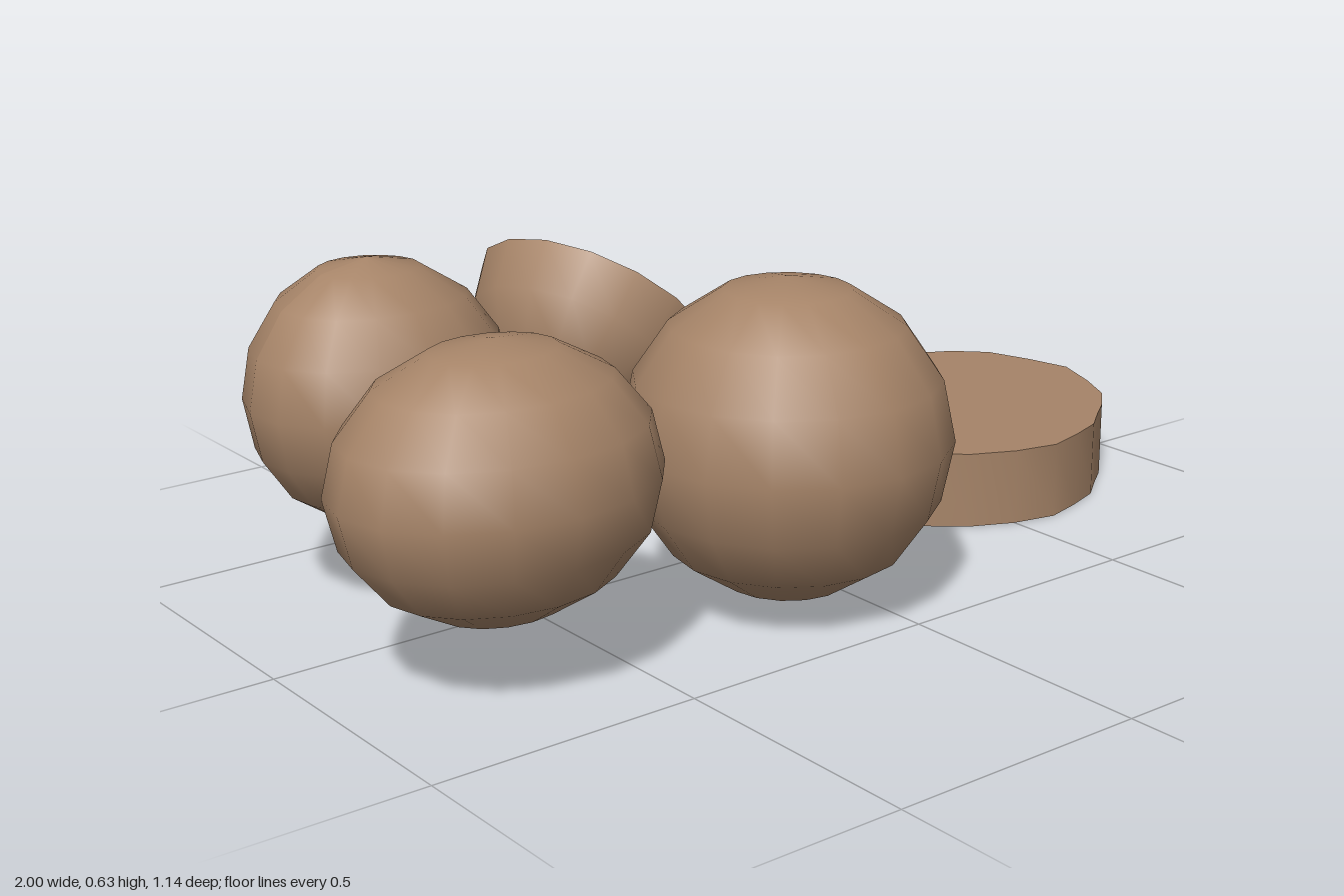
import * as THREE from 'three';
import { toCreasedNormals } from 'three/addons/utils/BufferGeometryUtils.js';

const brown = new THREE.MeshStandardMaterial({ color: 0xa68468 });
brown.name = 'earthBrown';

function part(name, geometry, x, y, z) {
  const mesh = new THREE.Mesh(geometry, brown);
  mesh.name = name;
  mesh.position.set(x, y, z);
  return mesh;
}

// Coarse, smoothly shaded ball; taper widens it towards +z
function ball(rx, ry, rz, taper = 0) {
  const g = new THREE.SphereGeometry(1, 16, 8);
  const p = g.attributes.position;
  for (let i = 0; i < p.count; i++) {
    const z = p.getZ(i);
    p.setXYZ(i, p.getX(i) * rx * (1 + taper * z), p.getY(i) * ry, z * rz);
  }
  if (taper) g.computeVertexNormals();
  else {
    const n = g.attributes.normal, v = new THREE.Vector3();
    for (let i = 0; i < n.count; i++) {
      v.fromBufferAttribute(n, i).divide(new THREE.Vector3(rx, ry, rz)).normalize();
      n.setXYZ(i, v.x, v.y, v.z);
    }
  }
  return g;
}

// Half ball with a flat cut face pointing along its local +y
function halfBall(radius, depth) {
  const group = new THREE.Group();
  group.name = 'halfBoulder';
  const dome = new THREE.SphereGeometry(radius, 16, 4, 0, Math.PI * 2, Math.PI / 2, Math.PI / 2);
  dome.scale(1, depth / radius, 1);
  const cut = new THREE.CircleGeometry(radius, 16);
  cut.rotateX(-Math.PI / 2);
  group.add(part('halfBoulderDome', dome, 0, 0, 0), part('halfBoulderCutFace', cut, 0, 0, 0));
  return group;
}

// Irregular flat slab, outline given as x, z
function slab(height) {
  const outline = [
    [0.60, -0.46], [0.70, -0.455], [0.795, -0.405], [0.89, -0.355], [0.95, -0.295],
    [0.98, -0.20], [1.0, -0.105], [0.96, -0.005], [0.915, 0.08], [0.855, 0.135],
    [0.805, 0.17], [0.745, 0.215], [0.67, 0.24], [0.59, 0.26], [0.50, 0.24],
    [0.415, 0.20], [0.35, 0.145], [0.325, 0.095], [0.325, 0.05], [0.265, -0.045],
    [0.245, -0.135], [0.25, -0.215], [0.275, -0.32], [0.33, -0.39], [0.405, -0.425], [0.485, -0.45]
  ].map(([x, z]) => new THREE.Vector2(x, z));
  const g = new THREE.ExtrudeGeometry(new THREE.Shape(outline), { depth: height, bevelEnabled: false });
  g.rotateX(Math.PI / 2);
  g.translate(0, height, 0);
  return toCreasedNormals(g, 0.6);
}

export function createModel() {
  const model = new THREE.Group();
  model.name = 'rocks';

  // Whole boulders
  model.add(part('largeBoulder', ball(0.295, 0.291, 0.30), -0.115, 0.316, 0.272));
  model.add(part('wideBoulder', ball(0.293, 0.238, 0.24), -0.707, 0.357, 0.25));
  model.add(part('backBoulder', ball(0.242, 0.24, 0.227, 0.13), -0.66, 0.39, -0.223));

  // Split boulder, cut face turned up and outwards
  const half = halfBall(0.24, 0.252);
  half.position.set(-0.093, 0.422, -0.34);
  half.quaternion.setFromUnitVectors(
    new THREE.Vector3(0, 1, 0), new THREE.Vector3(0.65, 0.71, -0.25).normalize());
  model.add(half);

  // Flat slab
  model.add(part('flatSlab', slab(0.15), 0, 0, 0));
  return model;
}
